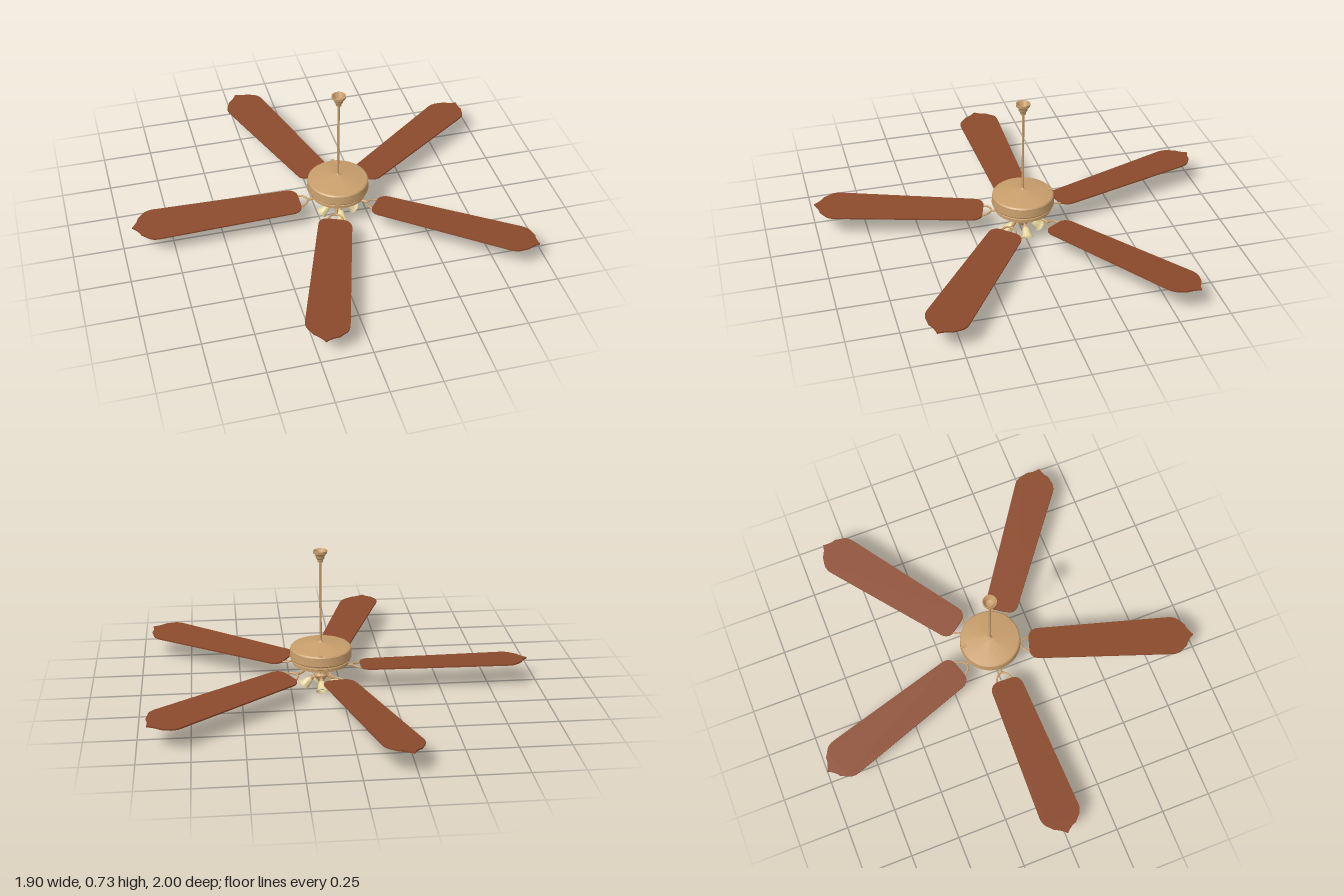
import * as THREE from 'three';
import { toCreasedNormals } from 'three/addons/utils/BufferGeometryUtils.js';

const mat = (name, color, side = THREE.FrontSide) => {
  const m = new THREE.MeshStandardMaterial({ color, side });
  m.name = name;
  return m;
};

export function createModel() {
  const bronze = mat('bronze', 0xc89e6c, THREE.DoubleSide);
  const wood = mat('reddish wood', 0x8b4a2c);
  const dark = mat('dark vent', 0x33271b);
  const glass = mat('cream glass', 0xe3d29b, THREE.DoubleSide);
  const white = mat('bulb white', 0xd9dde2);

  const model = new THREE.Group();
  model.name = 'ceilingFan';
  const fan = new THREE.Group();
  fan.name = 'fan';
  fan.position.x = 0.1;
  model.add(fan);

  const add = (parent, name, geometry, material, x = 0, y = 0, z = 0) => {
    const mesh = new THREE.Mesh(geometry, material);
    mesh.name = name;
    mesh.position.set(x, y, z);
    parent.add(mesh);
    return mesh;
  };
  // Turned part from [radius, height] pairs, listed bottom to top
  const lathe = (points, segments = 48) => toCreasedNormals(
    new THREE.LatheGeometry(points.map(([r, y]) => new THREE.Vector2(r, y)), segments), 0.5);
  const tube = (points, radius, closed = false) => new THREE.TubeGeometry(
    new THREE.CatmullRomCurve3(points.map(p => new THREE.Vector3(...p)), closed), 32, radius, 8, closed);

  // Ceiling canopy (hollow cup) and down rod
  add(fan, 'canopy', lathe([
    [0.007, 0.675], [0.013, 0.677], [0.015, 0.69], [0.021, 0.697], [0.023, 0.71],
    [0.027, 0.717], [0.034, 0.722], [0.035, 0.735], [0.031, 0.735], [0.018, 0.71], [0, 0.705],
  ], 32), bronze);
  add(fan, 'downRod', new THREE.CylinderGeometry(0.006, 0.006, 0.48, 16), bronze, 0, 0.465, 0);

  // Motor housing with stepped bands and shallow conical top
  add(fan, 'motorHousing', lathe([
    [0, 0.152], [0.125, 0.152], [0.135, 0.147], [0.141, 0.15], [0.141, 0.16], [0.146, 0.163],
    [0.146, 0.169], [0.142, 0.171], [0.142, 0.175], [0.152, 0.179], [0.155, 0.185], [0.152, 0.228],
    [0.146, 0.234], [0.09, 0.245], [0.025, 0.254], [0.012, 0.257], [0.006, 0.265],
  ], 64), bronze);
  add(fan, 'topSwitch', new THREE.BoxGeometry(0.018, 0.006, 0.024), bronze, 0.01, 0.237, -0.137);

  // Radial cooling slots under the motor
  for (let i = 0; i < 30; i++) {
    const a = i * Math.PI / 15;
    const slot = add(fan, 'ventSlot', new THREE.BoxGeometry(0.045, 0.004, 0.009), dark,
      Math.cos(a) * 0.098, 0.1505, -Math.sin(a) * 0.098);
    slot.rotation.y = a;
  }
  add(fan, 'flywheel', new THREE.CylinderGeometry(0.066, 0.062, 0.014, 40), bronze, 0, 0.146, 0);

  // Blade outline: rounded root, slight flare, pointed tip
  const outline = new THREE.Shape();
  outline.moveTo(0.2, -0.04);
  outline.quadraticCurveTo(0.205, -0.078, 0.245, -0.084);
  outline.lineTo(0.93, -0.104);
  outline.quadraticCurveTo(0.965, -0.104, 0.985, -0.083);
  outline.lineTo(1.012, -0.058);
  outline.quadraticCurveTo(1.022, -0.025, 1.05, 0);
  outline.quadraticCurveTo(1.022, 0.025, 1.012, 0.058);
  outline.lineTo(0.985, 0.083);
  outline.quadraticCurveTo(0.965, 0.104, 0.93, 0.104);
  outline.lineTo(0.245, 0.084);
  outline.quadraticCurveTo(0.205, 0.078, 0.2, 0.04);
  outline.closePath();
  const bladeGeo = new THREE.ExtrudeGeometry(outline, { depth: 0.008, bevelEnabled: false, curveSegments: 10 });
  bladeGeo.rotateX(Math.PI / 2).translate(0, 0.004, 0);

  // Wire loop under the root of each blade, and the arm joining it to the flywheel
  const loopGeo = tube([
    [0.158, 0, 0], [0.17, 0, 0.025], [0.2, -0.004, 0.04], [0.235, -0.008, 0.042], [0.285, -0.008, 0.02],
    [0.305, -0.008, 0], [0.285, -0.008, -0.02], [0.235, -0.008, -0.042], [0.2, -0.004, -0.04], [0.17, 0, -0.025],
  ], 0.005, true);
  const armGeo = tube([[0.045, 0.143, 0], [0.09, 0.139, 0], [0.125, 0.128, 0], [0.162, 0.125, 0]], 0.007);

  for (let i = 0; i < 5; i++) {
    const arm = new THREE.Group();
    arm.name = 'bladeAssembly';
    arm.rotation.y = Math.PI + i * Math.PI * 0.4;
    fan.add(arm);
    add(arm, 'bladeArm', armGeo, bronze);
    const pitched = new THREE.Group();
    pitched.name = 'pitchedBlade';
    pitched.position.y = 0.126;
    pitched.rotation.x = -0.085;
    arm.add(pitched);
    add(pitched, 'blade', bladeGeo, wood);
    add(pitched, 'bladeIron', loopGeo, bronze);
    for (const [x, z] of [[0.235, 0.042], [0.235, -0.042], [0.3, 0]])
      add(pitched, 'ironPad', new THREE.CylinderGeometry(0.013, 0.011, 0.008, 16), bronze, x, -0.007, z);
  }

  // Light kit body
  add(fan, 'lightBody', lathe([
    [0, 0.038], [0.006, 0.04], [0.009, 0.047], [0.016, 0.052], [0.024, 0.06], [0.027, 0.07],
    [0.034, 0.077], [0.034, 0.084], [0.027, 0.092], [0.023, 0.11], [0.026, 0.118],
    [0.02, 0.125], [0.018, 0.145],
  ], 32), bronze);

  // Four bell shades on short arms, tilted outward
  const shadeGeo = lathe([
    [0.031, -0.056], [0.026, -0.05], [0.022, -0.036], [0.02, -0.022], [0.015, -0.009], [0.009, -0.002],
  ], 28);
  for (let i = 0; i < 4; i++) {
    const lamp = new THREE.Group();
    lamp.name = 'lamp';
    lamp.rotation.y = i * Math.PI / 2;
    fan.add(lamp);
    add(lamp, 'lampArm', tube([[0.015, 0.066, 0], [0.032, 0.071, 0], [0.049, 0.062, 0]], 0.006), bronze);
    const head = new THREE.Group();
    head.name = 'lampHead';
    head.position.set(0.046, 0.065, 0);
    head.rotation.z = Math.PI / 4;
    lamp.add(head);
    add(head, 'socket', new THREE.CylinderGeometry(0.01, 0.013, 0.016, 20), bronze, 0, -0.002, 0);
    add(head, 'shade', shadeGeo, glass);
    add(head, 'bulb', new THREE.SphereGeometry(0.013, 20, 14), white, 0, -0.036, 0);
  }
  return model;
}
